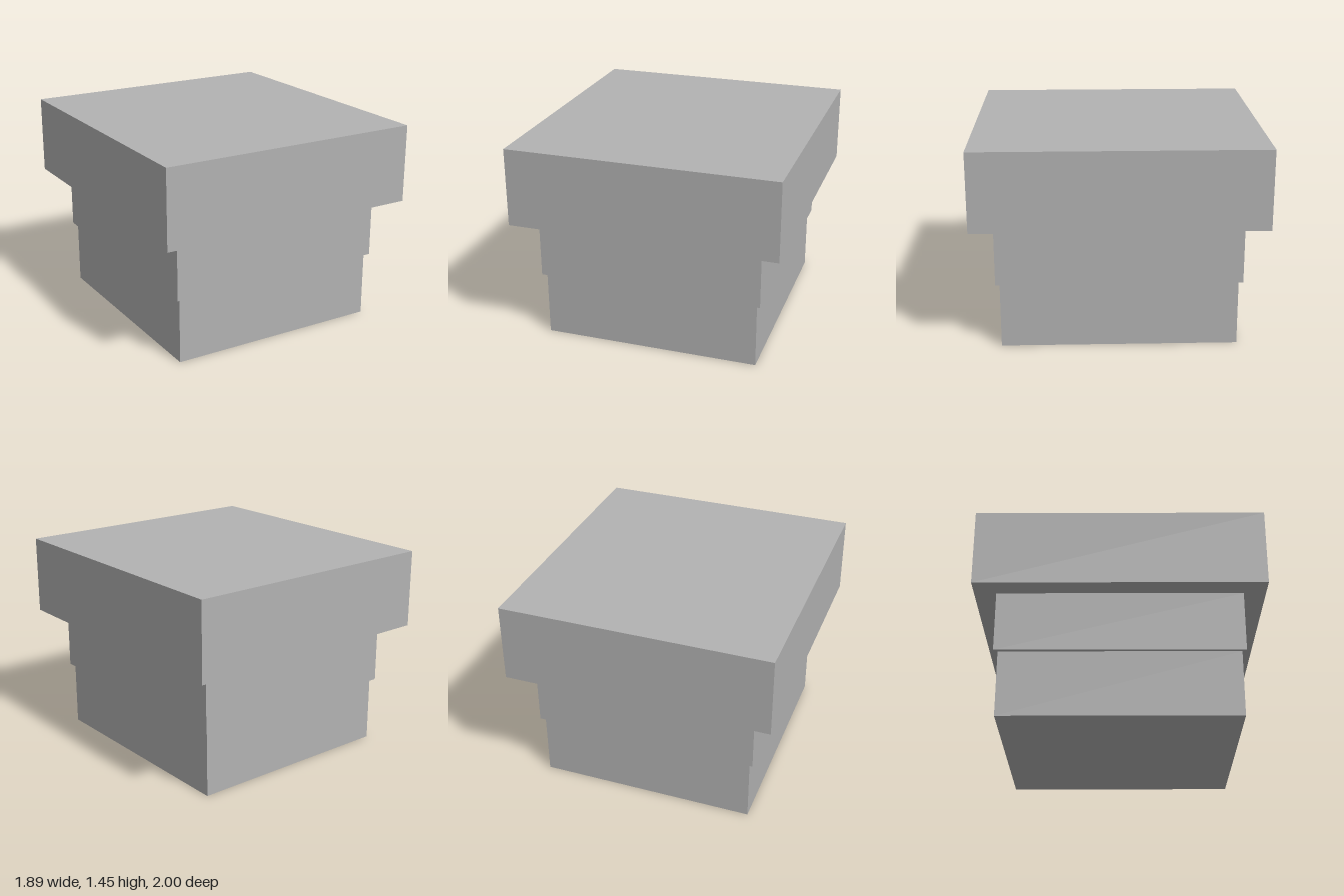
import * as THREE from 'three';

export function createModel() {
  const model = new THREE.Group();
  const stone = new THREE.MeshStandardMaterial({ color: 0xb2b2b2 });
  stone.name = 'grey stone';

  // Stacked square tiers, widening upwards: name, width, depth, bottom, top
  const tiers = [
    ['base', 1.53, 1.64, 0, 0.465],
    ['middleTier', 1.585, 1.695, 0.465, 0.893],
    ['topSlab', 1.887, 2, 0.893, 1.445],
  ];
  for (const [name, width, depth, bottom, top] of tiers) {
    const tier = new THREE.Mesh(new THREE.BoxGeometry(width, top - bottom, depth), stone);
    tier.name = name;
    tier.position.y = (bottom + top) / 2;
    model.add(tier);
  }
  return model;
}
